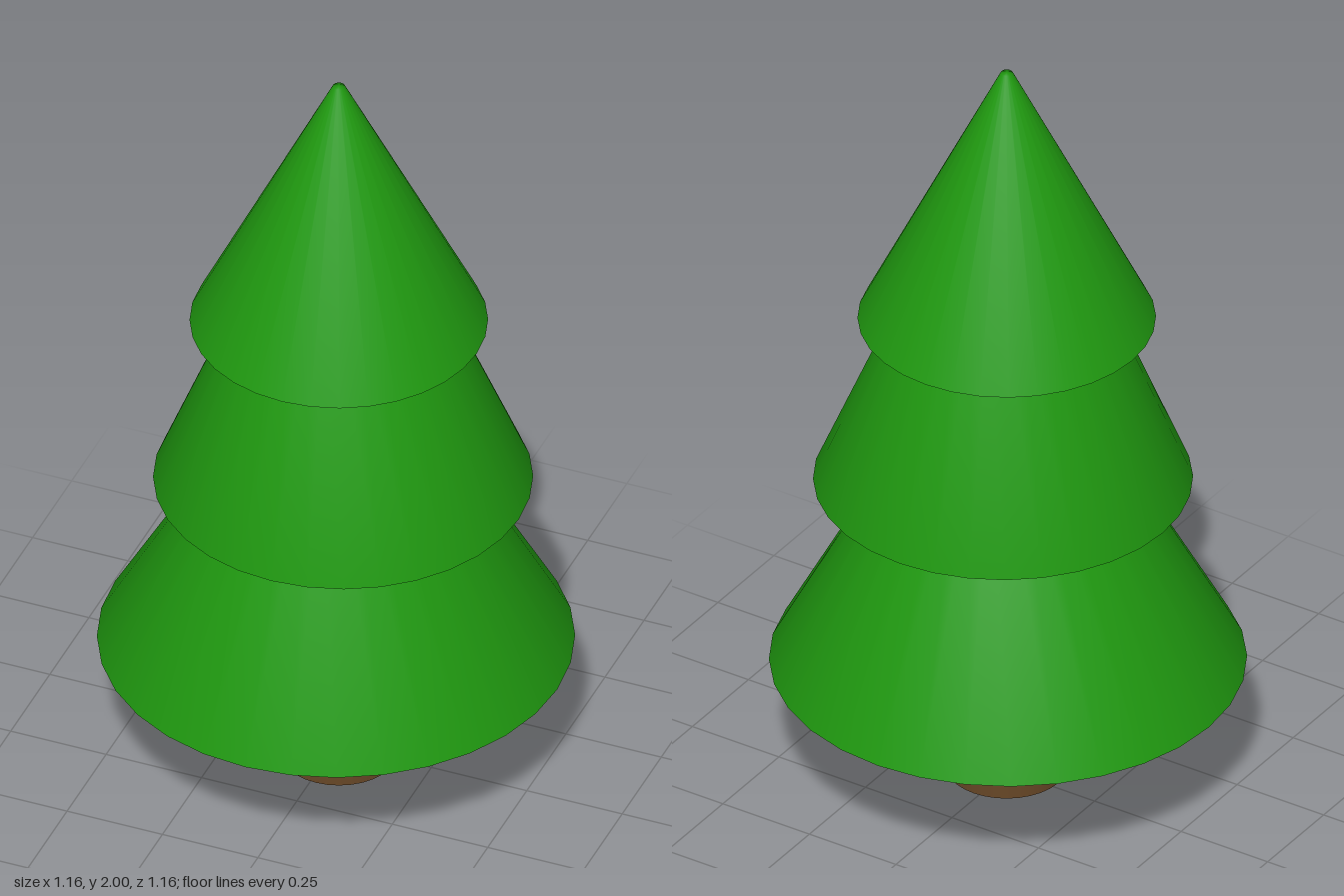
import * as THREE from 'three';
import { mergeVertices } from 'three/addons/utils/BufferGeometryUtils.js';

const SIDES = 32;

// Foliage rings from the trunk up: [radius, height, centre x, centre z]
const RINGS = [
  [0.147, 0.63, 0.015, 0.017], // lowest tier: hollow underside, rim
  [0.43, 0.385, 0, 0],
  [0.58, 0.328, 0, 0],
  [0.215, 0.99, 0.013, 0.013], // middle tier: neck, underside, rim
  [0.34, 0.875, 0.026, 0.018],
  [0.461, 0.828, 0.026, 0.018],
  [0.22, 1.41, 0.02, 0.016], // top tier: neck, underside, rim, tip
  [0.285, 1.335, 0.014, 0.016],
  [0.362, 1.296, 0.014, 0.016],
  [0.015, 2, 0.014, 0.016],
  [0, 2, 0.014, 0.016],
];

// One folded surface of revolution, each ring moved to its own centre
function foliageGeometry() {
  const profile = RINGS.map(([r, y]) => new THREE.Vector2(r, y));
  const lathe = new THREE.LatheGeometry(profile, SIDES);
  const position = lathe.attributes.position;
  for (let i = 0; i < position.count; i++) {
    const [, , x, z] = RINGS[i % RINGS.length];
    position.setX(i, position.getX(i) + x);
    position.setZ(i, position.getZ(i) + z);
  }
  // Smooth normals all round, across the rims too
  lathe.deleteAttribute('normal');
  lathe.deleteAttribute('uv');
  const geometry = mergeVertices(lathe);
  geometry.computeVertexNormals();
  return geometry;
}

export function createModel() {
  const tree = new THREE.Group();
  tree.name = 'tree';

  const trunk = new THREE.Mesh(
    new THREE.CylinderGeometry(0.147, 0.147, 0.63, SIDES),
    new THREE.MeshStandardMaterial({ color: 0x664626 }),
  );
  trunk.name = 'trunk';
  trunk.position.set(0.015, 0.315, 0.017);

  const foliage = new THREE.Mesh(
    foliageGeometry(),
    new THREE.MeshStandardMaterial({ color: 0x209a10 }),
  );
  foliage.name = 'foliage';

  tree.add(trunk, foliage);
  return tree;
}
